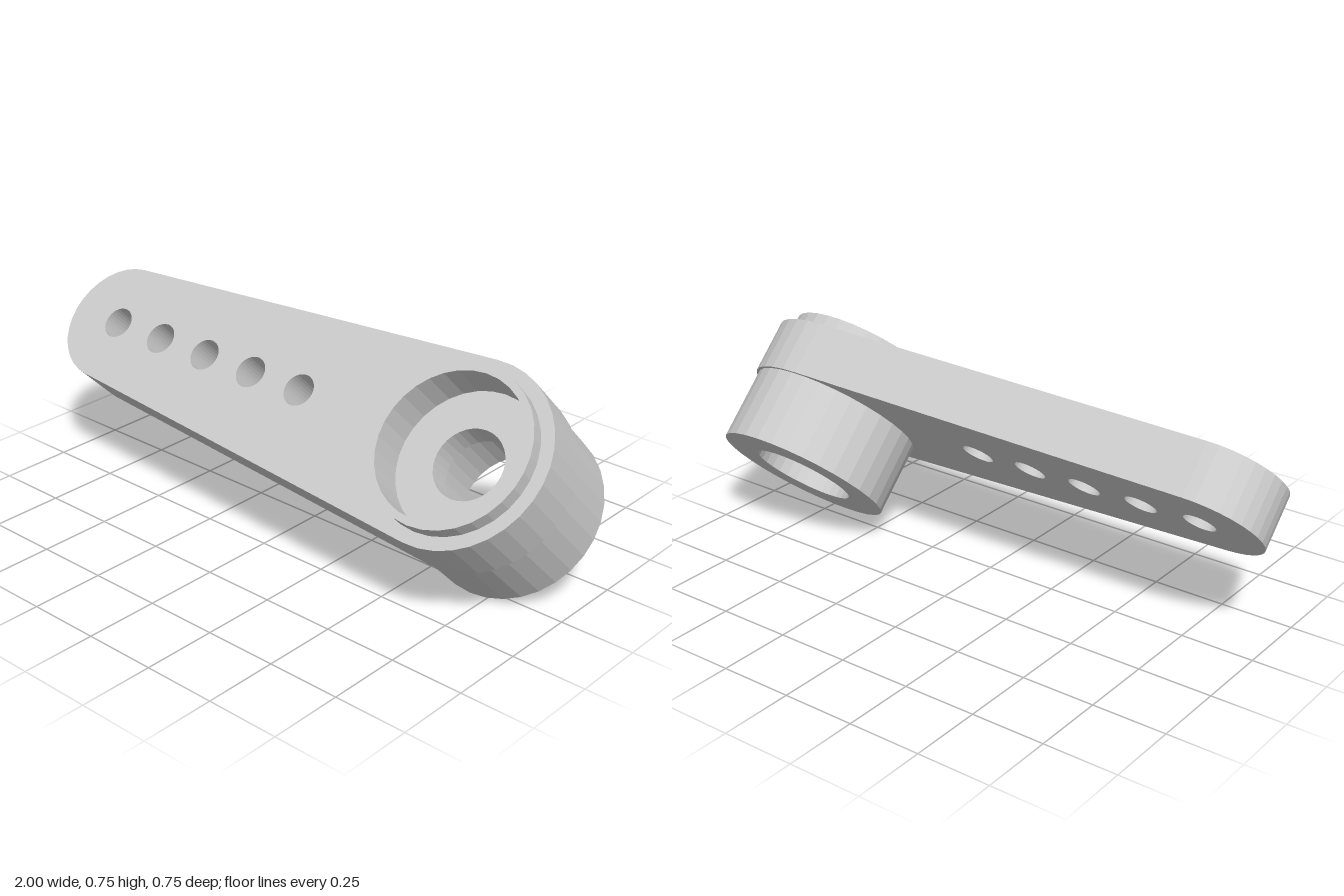
import * as THREE from 'three';

const SEG = 32;
const HUB = { x: 0.69, y: 0.267, r: 0.31 };
const TIP = { x: -0.79, y: 0.277, r: 0.21 };
const BACK = 0.29, FRONT = 0.479; // plate faces along the hub axis

// Points along a circular arc
function arc(x, y, r, from, to, n) {
  return Array.from({ length: n + 1 }, (_, i) => {
    const a = from + (to - from) * i / n;
    return new THREE.Vector2(x + r * Math.cos(a), y + r * Math.sin(a));
  });
}

function circlePath(x, y, r, n) {
  return new THREE.Path(arc(x, y, r, 0, Math.PI * 2, n).slice(0, n));
}

export function createModel() {
  const model = new THREE.Group();
  model.name = 'leverArm';
  const material = new THREE.MeshStandardMaterial({ color: 0xcccccc, flatShading: true });

  // Everything is laid out with the hub axis along z, then tipped back 45 degrees
  const tilted = new THREE.Group();
  tilted.name = 'tiltedArm';
  tilted.rotation.x = -Math.PI / 4;
  model.add(tilted);

  // Tapered arm plate: two end arcs joined by tangent edges
  const a = Math.PI / 2 + Math.asin((HUB.r - TIP.r) / (HUB.x - TIP.x));
  const outline = new THREE.Shape([
    ...arc(HUB.x, HUB.y, HUB.r, -a, a, 18),
    ...arc(TIP.x, TIP.y, TIP.r, a, Math.PI * 2 - a, 16),
  ]);
  outline.holes.push(circlePath(HUB.x, HUB.y, 0.267, SEG));
  for (let i = 0; i < 5; i++) {
    outline.holes.push(circlePath(-0.785 + i * 0.211, TIP.y, 0.055, SEG));
  }
  const plate = new THREE.Mesh(
    new THREE.ExtrudeGeometry(outline, { depth: FRONT - BACK, bevelEnabled: false }), material);
  plate.name = 'armPlate';
  plate.position.z = BACK;
  tilted.add(plate);

  // Hub: rear sleeve, front rim with recess, and a thin web with the screw hole
  const profile = [
    [0.175, 0.035], [0.3, 0.035], [0.3, BACK], [0.267, BACK],
    [0.267, 0.53], [0.243, 0.53], [0.243, 0.385], [0.118, 0.385],
    [0.118, BACK], [0.175, BACK], [0.175, 0.035],
  ].map(([r, h]) => new THREE.Vector2(r, h));
  const hub = new THREE.Mesh(new THREE.LatheGeometry(profile, SEG), material);
  hub.name = 'hub';
  hub.rotation.x = Math.PI / 2;
  hub.position.set(HUB.x, HUB.y, 0);
  tilted.add(hub);

  return model;
}
